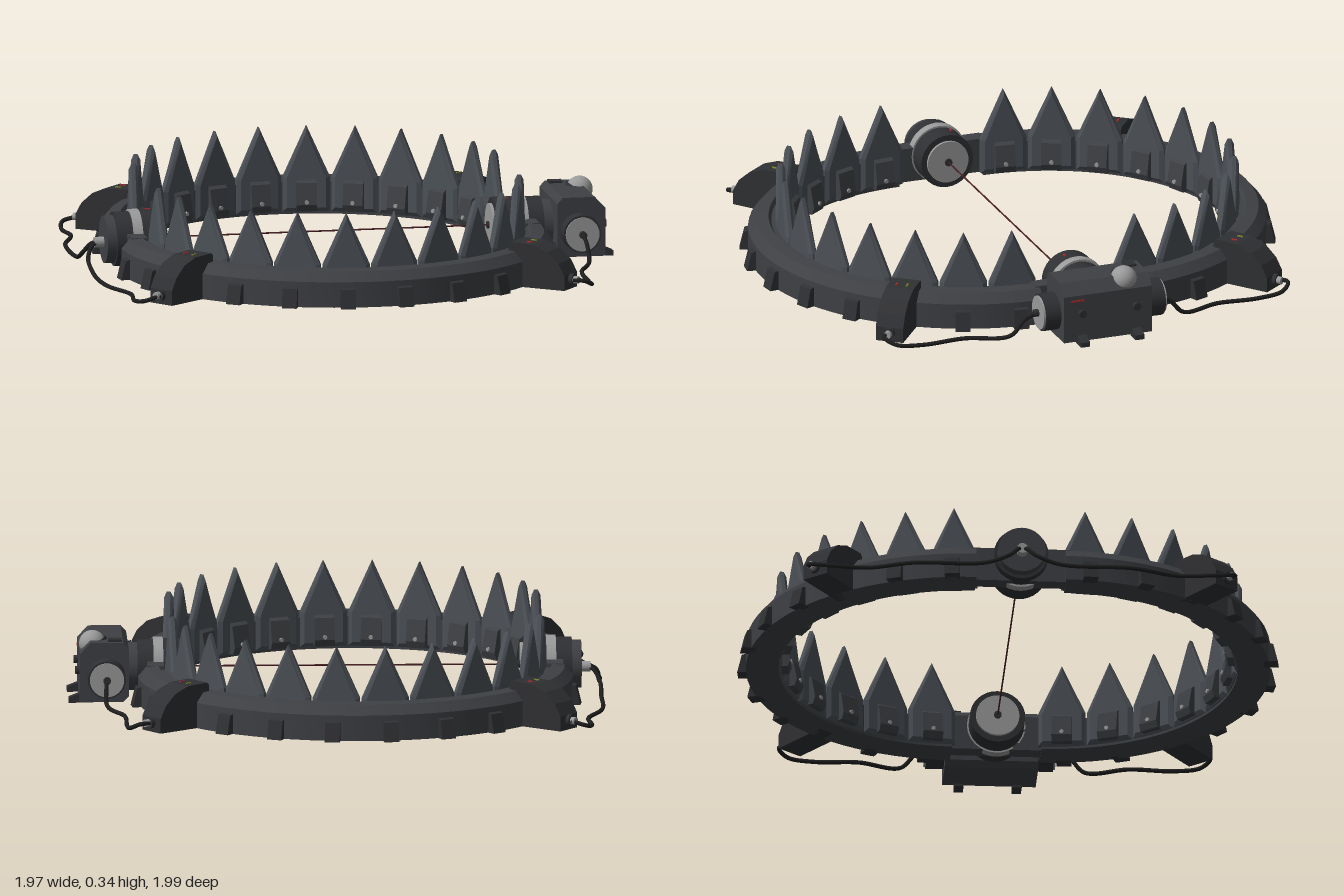
import * as THREE from 'three';
import { toCreasedNormals } from 'three/addons/utils/BufferGeometryUtils.js';

const mat = (color, side = THREE.FrontSide) => new THREE.MeshStandardMaterial({ color, side });
const IRON = mat(0x3e4044), DARK = mat(0x2f3033), STEEL = mat(0x4c5157), PALE = mat(0x9a9a9a);
const CABLE = mat(0x1f1f20), RED = mat(0xb02a2a), GREEN = mat(0x7f8a2a), WIRE = mat(0x4a2024);
const CAP = mat(0x3e4044, THREE.DoubleSide);

const CX = -0.07;              // ring centre in x
const CZ = 0.165;              // centre of each half ring in z
const STEP = THREE.MathUtils.degToRad(15.2);
const AXLE_Y = 0.11;

function add(parent, name, geo, material, x = 0, y = 0, z = 0) {
  const m = new THREE.Mesh(geo, material);
  m.name = name;
  m.position.set(x, y, z);
  parent.add(m);
  return m;
}

const shapeOf = pts => new THREE.Shape(pts.map(p => new THREE.Vector2(...p)));

// Solid with an (x, y) outline, centred along z
function prism(pts, depth) {
  return new THREE.ExtrudeGeometry(shapeOf(pts), { depth, bevelEnabled: false }).translate(0, 0, -depth / 2);
}
// Solid with a (radius, y) outline; the radius runs along +z
const radial = (pts, width) => prism(pts, width).rotateY(-Math.PI / 2);

function cyl(axis, r, length, sides = 32, r2 = r) {
  const g = new THREE.CylinderGeometry(r2, r, length, sides);
  if (axis === 'x') g.rotateZ(-Math.PI / 2);
  if (axis === 'z') g.rotateX(Math.PI / 2);
  return g;
}

function pivot(parent, name, angle) {
  const g = new THREE.Group();
  g.name = name;
  g.rotation.y = angle;
  parent.add(g);
  return g;
}

// Jaw section, counter-clockwise in (radius, y)
const JAW = [[0.8, 0.01], [0.8, 0.105], [0.77, 0.14], [0.725, 0.145], [0.715, 0.13],
  [0.68, 0.13], [0.68, 0.01]];
const toothGeo = new THREE.ExtrudeGeometry(
  shapeOf([[-0.087, 0.02], [0.087, 0.02], [0.087, 0.15], [0, 0.342], [-0.087, 0.15]]),
  { depth: 0.014, bevelThickness: 0.01, bevelSize: 0.015, bevelOffset: -0.015, bevelSegments: 1 }
).translate(0, 0, 0.673);
const plateGeo = radial([[0.67, 0.025], [0.67, 0.145], [0.65, 0.13], [0.635, 0.05], [0.645, 0.025]], 0.075);
const studGeo = radial([[0.78, 0.01], [0.832, 0.01], [0.815, 0.08], [0.78, 0.09]], 0.055);
const clampGeo = radial([[0.74, 0.01], [0.97, 0.01], [0.97, 0.065], [0.945, 0.11], [0.9, 0.15],
  [0.84, 0.172], [0.75, 0.175], [0.74, 0.165]], 0.105);

function halfJaw() {
  const jaw = new THREE.Group();
  jaw.name = 'jaw';
  // Curved bar with closed ends
  const profile = [...JAW, JAW[0]].map(p => new THREE.Vector2(...p));
  const bar = new THREE.LatheGeometry(profile, 48, -Math.PI / 2, Math.PI);
  add(jaw, 'jawBar', toCreasedNormals(bar, 0.3), IRON);
  for (const turn of [0, Math.PI]) {
    add(jaw, 'jawEnd', new THREE.ShapeGeometry(shapeOf(JAW)), CAP).rotation.y = turn;
  }
  // Teeth, their plates and the outer studs
  for (let i = 0; i < 12; i++) {
    const seg = pivot(jaw, 'toothSegment', (i - 5.5) * STEP);
    add(seg, 'tooth', toothGeo, STEEL);
    add(seg, 'toothPlate', plateGeo, IRON);
    add(seg, 'plateBolt', cyl('z', 0.008, 0.012, 8), PALE, 0, 0.06, 0.637);
    add(seg, 'stud', studGeo, DARK);
  }
  // Clamps with cable sockets
  for (const s of [-1, 1]) {
    const clamp = pivot(jaw, 'clamp', s * THREE.MathUtils.degToRad(52.3));
    add(clamp, 'clampBody', clampGeo, DARK);
    add(clamp, 'redMark', new THREE.BoxGeometry(0.006, 0.004, 0.022), RED, -0.02, 0.175, 0.81);
    add(clamp, 'greenMark', new THREE.BoxGeometry(0.006, 0.004, 0.022), GREEN, 0.02, 0.175, 0.81);
    add(clamp, 'socket', cyl('z', 0.022, 0.02, 16), DARK, 0, 0.045, 0.975);
    add(clamp, 'plug', cyl('z', 0.014, 0.035, 16), PALE, 0, 0.045, 0.985);
  }
  return jaw;
}

// Hinge drum, drawn for the +x side and turned round for the other
function hinge() {
  const g = new THREE.Group();
  g.name = 'hinge';
  add(g, 'innerDrum', cyl('x', 0.102, 0.085), DARK, 0.663, AXLE_Y);
  add(g, 'band', cyl('x', 0.108, 0.036), PALE, 0.723, AXLE_Y);
  add(g, 'outerDrum', cyl('x', 0.1, 0.06), DARK, 0.77, AXLE_Y);
  add(g, 'backDrum', cyl('x', 0.088, 0.04), IRON, 0.815, AXLE_Y);
  add(g, 'innerCap', cyl('x', 0.08, 0.012), PALE, 0.616, AXLE_Y);
  add(g, 'hub', cyl('x', 0.014, 0.012, 16), DARK, 0.608, AXLE_Y);
  add(g, 'link', new THREE.BoxGeometry(0.06, 0.13, 0.36), IRON, 0.735, 0.08);
  add(g, 'redMark', new THREE.BoxGeometry(0.02, 0.004, 0.006), RED, 0.665, 0.212, 0.03);
  return g;
}

// Control box beside the +x hinge
function controlBox() {
  const g = new THREE.Group();
  g.name = 'controlBox';
  add(g, 'housing', prism([[0.765, 0.03], [0.785, 0.01], [0.945, 0.01], [0.945, 0.19], [0.905, 0.232],
    [0.785, 0.232], [0.765, 0.21]], 0.345), IRON, 0, 0, -0.008);
  add(g, 'barrel', cyl('z', 0.07, 0.47), DARK, 0.847, 0.105, -0.012);
  for (const s of [-1, 1]) {
    const z = -0.012 + s * 0.235;
    add(g, 'barrelCap', cyl('z', 0.063, 0.014), PALE, 0.847, 0.105, z);
    add(g, 'cableGland', cyl('z', 0.014, 0.03, 12), DARK, 0.847, 0.105, z + s * 0.01);
    add(g, 'foot', prism([[0.93, 0], [0.985, 0], [0.985, 0.018], [0.93, 0.04]], 0.035),
      DARK, 0, 0, -0.012 + s * 0.107);
    add(g, 'sideKnob', cyl('x', 0.015, 0.02, 12), DARK, 0.95, 0.12, -0.012 + s * 0.107);
  }
  add(g, 'topLatch', new THREE.BoxGeometry(0.05, 0.012, 0.04), DARK, 0.815, 0.234, -0.14);
  add(g, 'redMark', new THREE.BoxGeometry(0.004, 0.006, 0.05), RED, 0.946, 0.17, 0.11);
  // Tilted domed lamp
  const lamp = new THREE.Group();
  lamp.name = 'lamp';
  lamp.position.set(0.888, 0.198, -0.088);
  lamp.rotation.z = -0.5;
  add(lamp, 'lampBase', cyl('y', 0.056, 0.03), DARK, 0, 0.005);
  add(lamp, 'lampDome', new THREE.SphereGeometry(0.049, 24, 10, 0, Math.PI * 2, 0, Math.PI / 2), PALE, 0, 0.018);
  g.add(lamp);
  return g;
}

function cable(parent, pts) {
  const curve = new THREE.CatmullRomCurve3(pts.map(p => new THREE.Vector3(...p)));
  add(parent, 'cable', new THREE.TubeGeometry(curve, 60, 0.008, 8), CABLE);
}

export function createModel() {
  const model = new THREE.Group();
  model.name = 'jawTrap';

  for (const s of [1, -1]) {
    const jaw = halfJaw();
    jaw.position.set(CX, 0, s * CZ);
    if (s < 0) jaw.rotation.y = Math.PI;
    model.add(jaw);

    const h = hinge();
    h.position.x = CX;
    if (s < 0) h.rotation.y = Math.PI;
    model.add(h);

    // Cables from clamps to the box and to the far hinge
    cable(model, [[0.847, 0.105, s * 0.235], [0.85, 0.085, s * 0.285], [0.85, 0.03, s * 0.34], [0.79, 0.02, s * 0.5],
      [0.785, 0.015, s * 0.66], [0.775, 0.025, s * 0.76], [0.74, 0.045, s * 0.795], [0.705, 0.045, s * 0.775]]);
    cable(model, [[-0.9, 0.1, s * 0.01], [-0.945, 0.095, s * 0.014], [-0.972, 0.055, s * 0.05], [-0.975, 0.02, s * 0.14],
      [-0.97, 0.015, s * 0.4], [-0.915, 0.015, s * 0.57], [-0.925, 0.015, s * 0.7], [-0.9, 0.03, s * 0.785],
      [-0.845, 0.045, s * 0.775]]);
  }
  add(model, 'hingePlug', cyl('x', 0.02, 0.05, 16), PALE, -0.915, 0.1, 0);

  model.add(controlBox());
  add(model, 'tripWire', cyl('x', 0.003, 1.23, 8), WIRE, CX, AXLE_Y, 0);
  return model;
}
